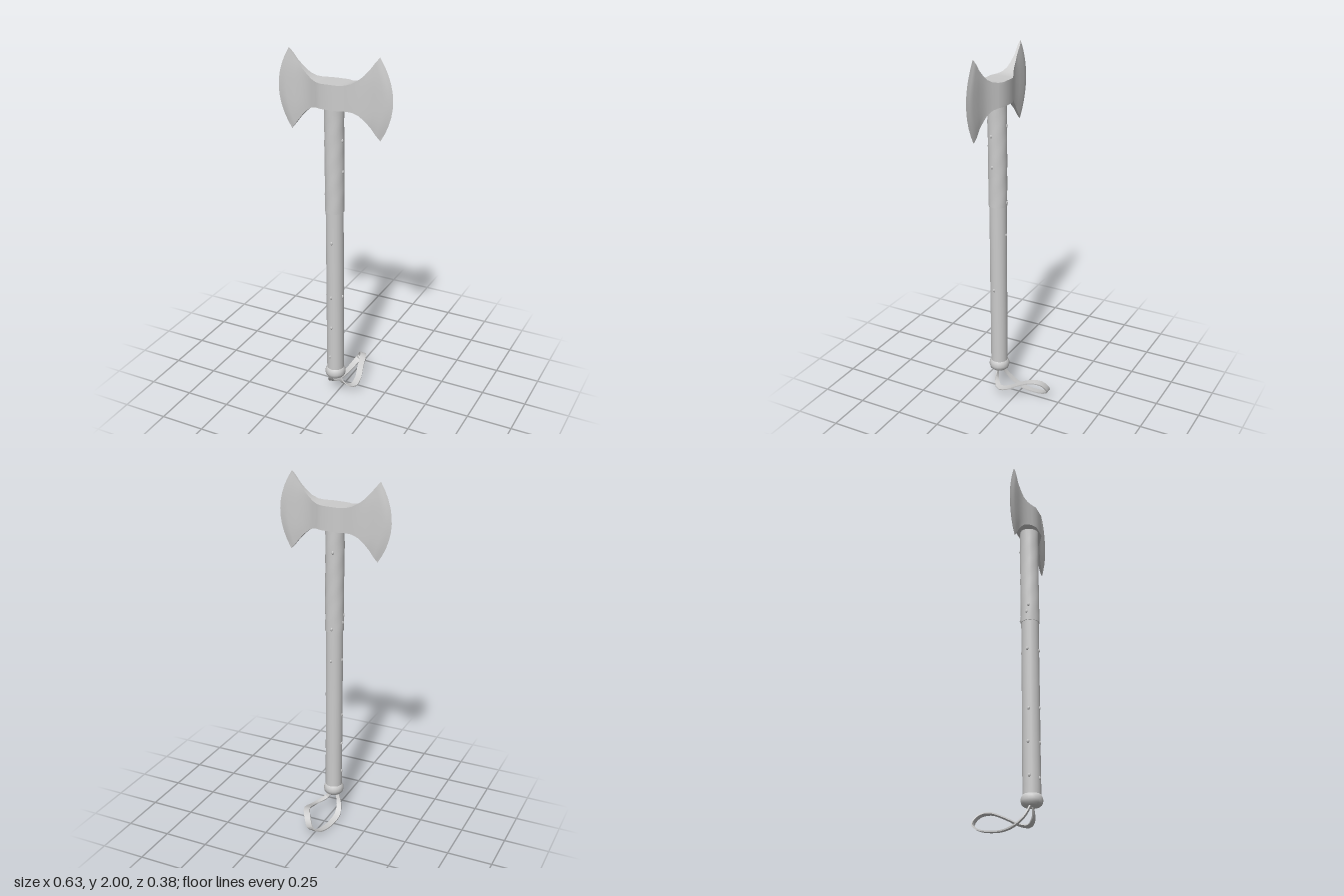
import * as THREE from 'three';
import { toCreasedNormals } from 'three/addons/utils/BufferGeometryUtils.js';

const grey = new THREE.MeshStandardMaterial({ color: 0xcccccc });
const AXIS_Z = 0.127;

// Skin a list of equal-length rings (arrays of [x, y, z]) and cap both ends
function loft(rings, crease) {
  const n = rings[0].length, index = [];
  for (let i = 0; i < rings.length - 1; i++) {
    for (let k = 0; k < n; k++) {
      const a = i * n + k, b = i * n + (k + 1) % n, c = b + n, d = a + n;
      index.push(a, d, c, a, c, b);
    }
  }
  const last = (rings.length - 1) * n;
  for (let k = 1; k < n - 1; k++) {
    index.push(0, k, k + 1, last, last + k + 1, last + k);
  }
  const g = new THREE.BufferGeometry();
  g.setAttribute('position', new THREE.Float32BufferAttribute(rings.flat(2), 3));
  g.setIndex(index);
  return toCreasedNormals(g, crease);
}

function addMesh(parent, name, geometry) {
  const m = new THREE.Mesh(geometry, grey);
  m.name = name;
  parent.add(m);
  return m;
}

// Double-bladed head: sections across x as [x, half height, half thickness, edge bulge]
function headGeometry() {
  const half = [
    [0, 0.065, 0.063, 0], [0.05, 0.065, 0.062, 0], [0.08, 0.066, 0.048, 0],
    [0.11, 0.073, 0.033, 0], [0.14, 0.09, 0.02, 0.002], [0.17, 0.116, 0.0135, 0.01],
    [0.2, 0.15, 0.0125, 0.022], [0.225, 0.182, 0.0125, 0.042],
    [0.24, 0.2, 0.009, 0.059], [0.249, 0.212, 0.001, 0.068],
  ];
  const sections = [
    ...half.slice(1).reverse().map(([x, h, t, b]) => [-x, h, t, -b]),
    ...half,
  ];
  const rows = 10;
  const rings = sections.map(([x, h, t, bulge]) => {
    const front = [], back = [];
    for (let r = 0; r <= rows; r++) {
      const v = -1 + 2 * r / rows;
      // blades thin out towards their horns
      const thin = Math.abs(x) > 0.18 ? 1 - 0.45 * v ** 4 : 1;
      const px = x + bulge * (1 - v * v);
      front.push([px, v * h, t * thin]);
      back.unshift([px, v * h, -t * thin]);
    }
    return [...front, ...back];
  });
  return loft(rings, 0.7);
}

// Flat wrist strap swept along a looping path
function strapGeometry() {
  const path = new THREE.CatmullRomCurve3([
    [0.01, 0.14, 0.13], [0.045, 0.085, 0.122], [0.088, 0.058, 0.085], [0.092, 0.07, 0.03],
    [0.075, 0.105, -0.04], [0.058, 0.13, -0.11], [0.03, 0.115, -0.16],
    [0, 0.065, -0.185], [-0.022, 0.028, -0.145], [-0.038, 0.009, -0.07],
    [-0.048, 0.009, 0], [-0.056, 0.03, 0.06], [-0.045, 0.075, 0.105], [-0.015, 0.14, 0.13],
  ].map(p => new THREE.Vector3(...p)));
  const steps = 44, rings = [];
  for (let i = 0; i <= steps; i++) {
    const u = i / steps;
    const p = path.getPointAt(u), t = path.getTangentAt(u);
    const tilt = u < 0.5 ? -0.35 : 0.2;
    const w = new THREE.Vector3(1, tilt * Math.abs(1 - 2 * u), 0);
    w.addScaledVector(t, -w.dot(t)).normalize();
    const n = new THREE.Vector3().crossVectors(t, w);
    const halfW = 0.008 + 0.009 * Math.min(1, 6 * u, 6 * (1 - u));
    rings.push([[-1, -1], [-1, 1], [1, 1], [1, -1]].map(([a, b]) =>
      p.clone().addScaledVector(w, a * halfW).addScaledVector(n, b * 0.0035).toArray()));
  }
  return loft(rings, 0.6);
}

// Round shaft, slightly uneven like worked wood
function shaftGeometry(radius, y0, y1, wobble) {
  const g = new THREE.CylinderGeometry(radius, radius, y1 - y0, 20, 14);
  g.translate(0, (y0 + y1) / 2, 0);
  const p = g.attributes.position;
  for (let i = 0; i < p.count; i++) {
    const a = Math.atan2(p.getZ(i), p.getX(i)), y = p.getY(i);
    const s = 1 + wobble * Math.sin(3 * a + y * 17) * Math.cos(y * 29);
    p.setX(i, p.getX(i) * s);
    p.setZ(i, p.getZ(i) * s);
  }
  return toCreasedNormals(g, 0.7);
}

export function createModel() {
  const axe = new THREE.Group();
  axe.name = 'doubleAxe';

  const head = addMesh(axe, 'head', headGeometry());
  head.position.set(0, 1.784, AXIS_Z - 0.002);
  head.rotation.z = 0.02;

  // Handle with a thicker upper length
  const handle = new THREE.Group();
  handle.name = 'handle';
  handle.position.z = AXIS_Z + 0.002;
  axe.add(handle);
  addMesh(handle, 'lowerShaft', shaftGeometry(0.0475, 0.16, 1.2, 0.01));
  addMesh(handle, 'upperShaft', shaftGeometry(0.051, 1.15, 1.74, 0.025));

  // Small knots in the wood: [height, angle]
  const knots = [
    [0.27, 1.8], [0.28, 3.1], [0.46, 3.2], [0.46, 1.6], [0.64, 3.1], [0.65, 0.1],
    [0.65, 1.6], [0.98, 3.2], [0.98, 1.5], [0.98, 4.7], [1.17, 4.6], [1.2, 3.2],
    [1.24, 3], [1.38, 0.1], [1.55, 0.2], [1.6, 4.5],
  ];
  for (const [y, a] of knots) {
    const r = y > 1.15 ? 0.05 : 0.0465;
    const knot = addMesh(handle, 'knot', new THREE.SphereGeometry(0.007, 8, 6));
    knot.position.set(Math.cos(a) * r, y, Math.sin(a) * r);
    knot.scale.y = 1.5;
  }

  // Rounded pommel ring closing the lower end
  const profile = [
    [0, 0.13], [0.042, 0.13], [0.053, 0.14], [0.058, 0.158],
    [0.055, 0.176], [0.047, 0.19], [0.04, 0.192],
  ].map(([x, y]) => new THREE.Vector2(x, y));
  addMesh(handle, 'pommel', toCreasedNormals(new THREE.LatheGeometry(profile, 20), 0.8));

  addMesh(axe, 'wristStrap', strapGeometry());
  return axe;
}
